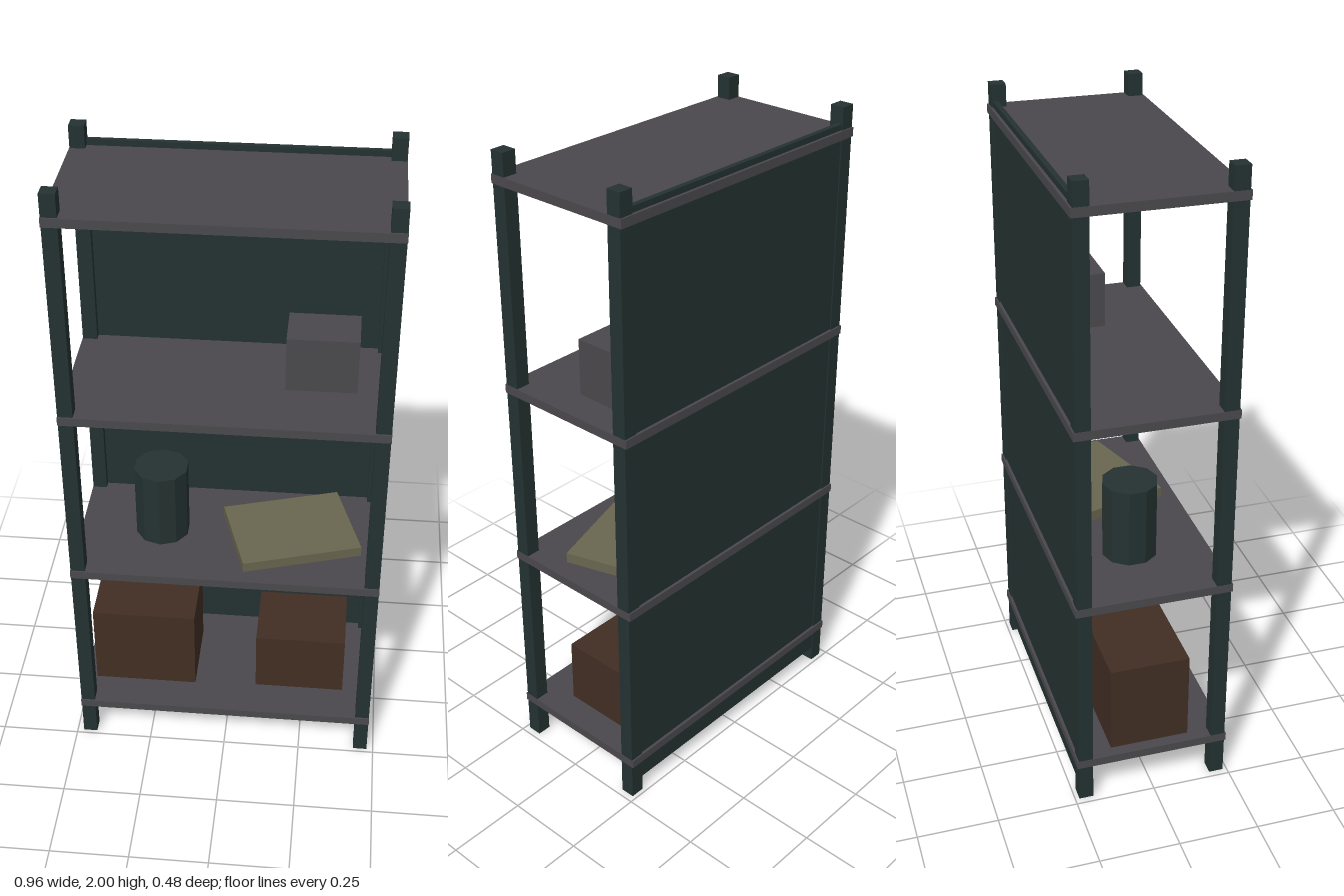
import * as THREE from 'three';

const material = (name, color, extra = {}) => {
  const m = new THREE.MeshStandardMaterial({ color, ...extra });
  m.name = name;
  return m;
};

export function createModel() {
  const model = new THREE.Group();
  model.name = 'shelvingUnit';

  const frame = material('darkGreenPaint', 0x243231);
  frame.flatShading = true;
  const metal = material('greyMetal', 0x4a484c);
  const cardboard = material('brownCardboard', 0x412e23);
  const paper = material('palePaper', 0x69654f);

  // Box standing on height y, centred on x and z
  const box = (name, mat, w, h, d, x, y, z) => {
    const mesh = new THREE.Mesh(new THREE.BoxGeometry(w, h, d), mat);
    mesh.name = name;
    mesh.position.set(x, y + h / 2, z);
    model.add(mesh);
    return mesh;
  };

  // Corner posts
  for (const [sx, side] of [[-1, 'Right'], [1, 'Left']]) {
    for (const [sz, end] of [[-1, 'back'], [1, 'front']]) {
      box(`${end}${side}Post`, frame, 0.045, 2, 0.045, sx * 0.4565, 0, sz * 0.2145);
    }
  }

  // Back panel between the posts
  box('backPanel', frame, 0.88, 1.9, 0.016, 0, 0.05, -0.225);

  // Shelves, given by their top heights
  const shelfTops = [0.148, 0.715, 1.297, 1.932];
  shelfTops.forEach((top, i) => {
    box(`shelf${i + 1}`, metal, 0.96, 0.027, 0.484, 0, top - 0.027, 0);
  });
  const [low, middle, high] = shelfTops;

  // Cartons on the lowest shelf
  box('largeCarton', cardboard, 0.335, 0.29, 0.25, -0.276, low, 0.001);
  box('smallCarton', cardboard, 0.292, 0.214, 0.23, 0.241, low, 0.001);

  // Ten-sided canister
  const canister = new THREE.Mesh(new THREE.CylinderGeometry(0.086, 0.086, 0.25, 10), frame);
  canister.name = 'canister';
  canister.position.set(-0.218, middle + 0.125, 0.001);
  model.add(canister);

  // Paper stack lying at an angle
  const stack = box('paperStack', paper, 0.38, 0.033, 0.29, 0.195, middle, 0);
  stack.rotation.y = 0.3;

  // Small grey case on the upper shelf
  box('smallCase', metal, 0.213, 0.175, 0.15, 0.271, high, -0.038);

  return model;
}
